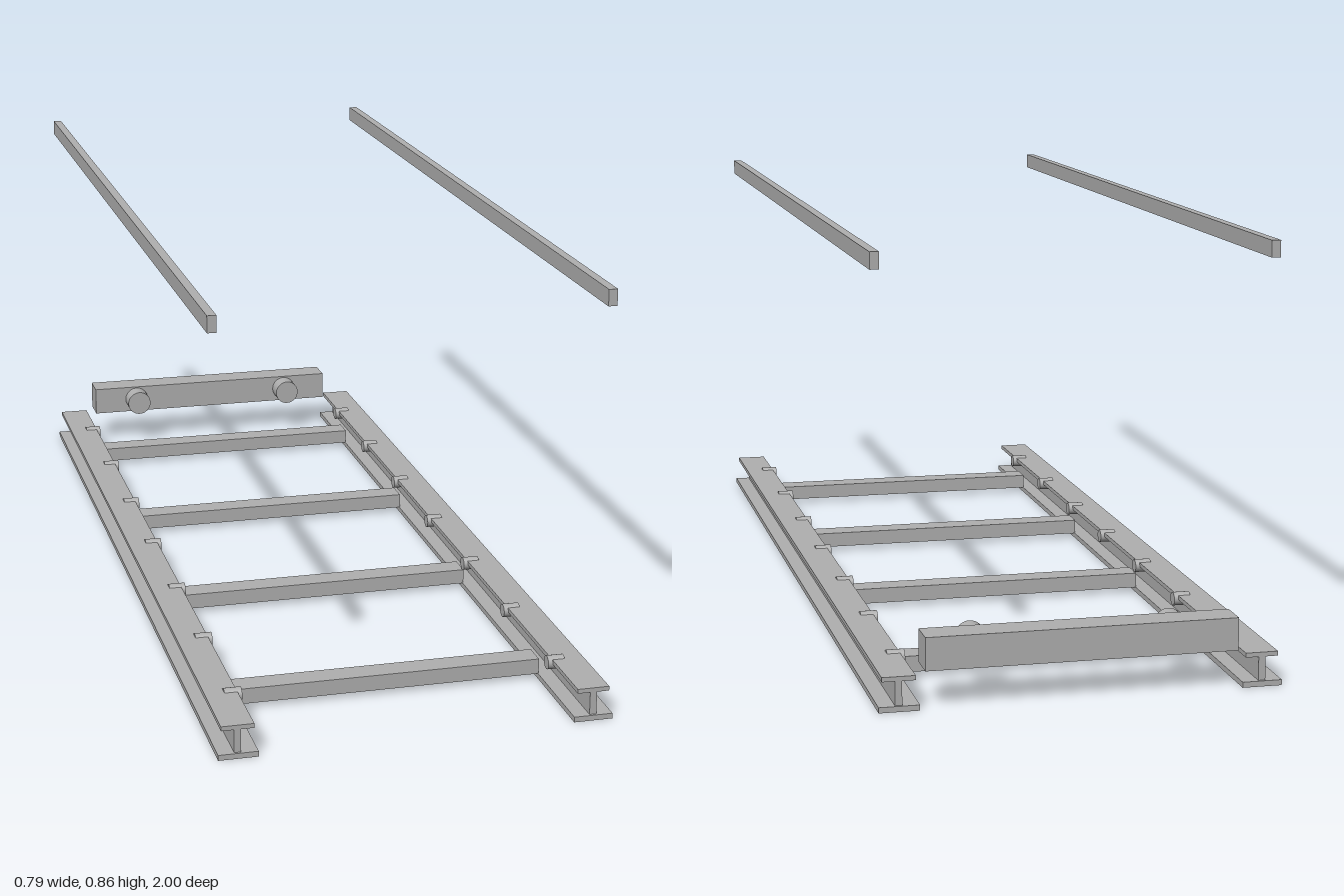
import * as THREE from 'three';

export function createModel() {
  const model = new THREE.Group();
  model.name = 'rollerTrackFrame';
  const steel = new THREE.MeshStandardMaterial({ color: 0xb0b0b0 });
  steel.name = 'grey steel';

  function add(parent, name, geometry, x, y, z) {
    const mesh = new THREE.Mesh(geometry, steel);
    mesh.name = name;
    mesh.position.set(x, y, z);
    parent.add(mesh);
    return mesh;
  }
  // Box given by its lower and upper corners
  function box(parent, name, [x0, y0, z0], [x1, y1, z1]) {
    return add(parent, name, new THREE.BoxGeometry(x1 - x0, y1 - y0, z1 - z0),
      (x0 + x1) / 2, (y0 + y1) / 2, (z0 + z1) / 2);
  }

  for (const [side, s] of [['left', 1], ['right', -1]]) {
    const span = (a, b) => (s > 0 ? [a, b] : [-b, -a]);
    const bar = (parent, name, xs, y0, y1, halfLength) => {
      const [x0, x1] = span(...xs);
      box(parent, name, [x0, y0, -halfLength], [x1, y1, halfLength]);
    };

    // I-beam side rail
    const rail = new THREE.Group();
    rail.name = side + 'Rail';
    model.add(rail);
    bar(rail, 'bottomFlange', [0.316, 0.395], 0, 0.011, 1);
    bar(rail, 'web', [0.349, 0.363], 0.011, 0.058, 0.995);
    bar(rail, 'topFlange', [0.323, 0.388], 0.058, 0.067, 0.995);

    // Rollers on the inner face of the web
    const rollerGeometry = new THREE.CylinderGeometry(0.014, 0.014, 0.035, 24);
    rollerGeometry.rotateZ(Math.PI / 2);
    for (let i = -3; i <= 3; i++) {
      add(rail, 'roller', rollerGeometry, s * 0.3315, 0.058, i * 0.279);
    }

    // Raised guide bar
    bar(model, side + 'GuideBar', [0.377, 0.395], 0.822, 0.855, 0.94);
  }

  // Cross members between the rails
  for (let i = 0; i < 4; i++) {
    const z = -0.764 + i * 0.507;
    box(model, 'crossMember', [-0.318, 0.01, z - 0.026], [0.318, 0.042, z + 0.026]);
  }

  // End stop with two round bumpers
  const stop = new THREE.Group();
  stop.name = 'endStop';
  model.add(stop);
  box(stop, 'stopBeam', [-0.306, 0.075, -1], [0.306, 0.14, -0.936]);
  const bumperGeometry = new THREE.CylinderGeometry(0.029, 0.029, 0.043, 40);
  bumperGeometry.rotateX(Math.PI / 2);
  for (const s of [-1, 1]) add(stop, 'bumper', bumperGeometry, s * 0.198, 0.108, -0.9155);

  return model;
}
